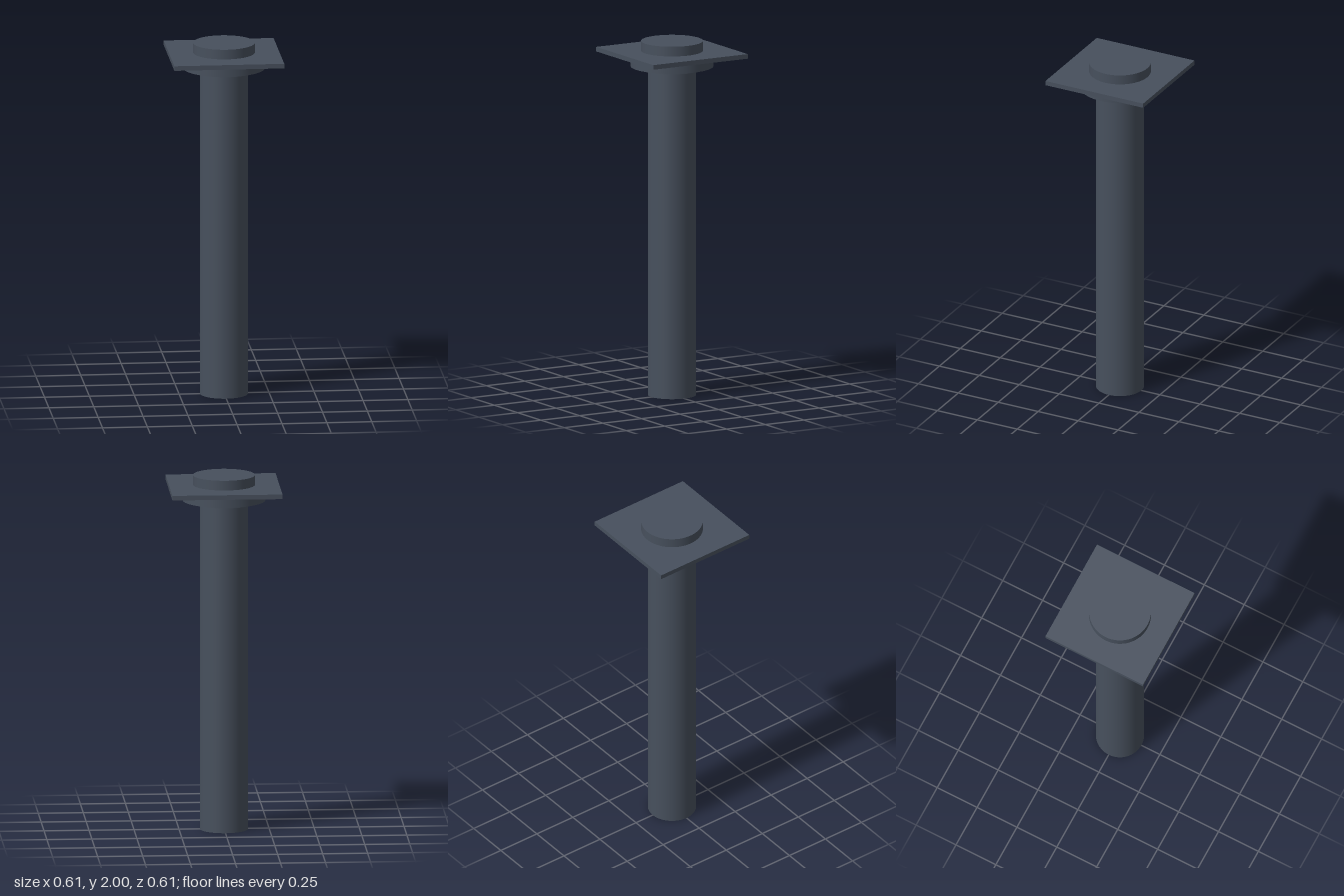
import * as THREE from 'three';

export function createModel() {
  const model = new THREE.Group();
  const steel = new THREE.MeshStandardMaterial({ color: 0x47505d });
  steel.name = 'slate steel';

  const add = (name, geometry, bottom, top) => {
    const mesh = new THREE.Mesh(geometry, steel);
    mesh.name = name;
    mesh.position.y = (bottom + top) / 2;
    model.add(mesh);
  };
  const disc = (name, radius, bottom, top) =>
    add(name, new THREE.CylinderGeometry(radius, radius, top - bottom, 64), bottom, top);

  // Long round post
  disc('shaft', 0.134, 0, 1.85);
  // Stepped collar under the plate
  disc('lowerCollar', 0.19, 1.847, 1.858);
  disc('upperCollar', 0.23, 1.858, 1.92);
  // Square mounting plate
  add('plate', new THREE.BoxGeometry(0.612, 0.026, 0.612), 1.919, 1.945);
  // Round boss on top
  disc('topBoss', 0.172, 1.945, 2);

  return model;
}
